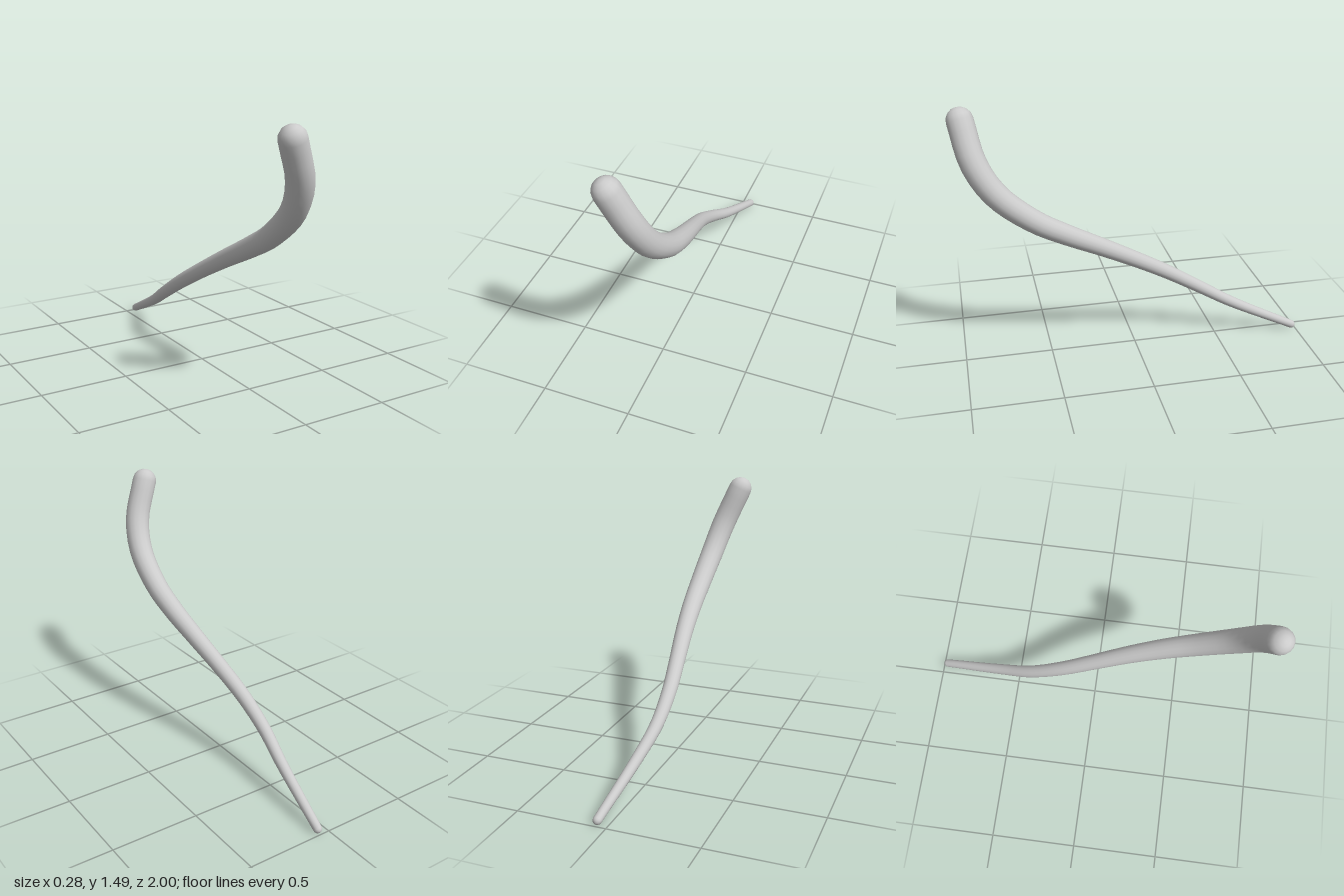
import * as THREE from 'three';

// Centreline stations from thick end to thin tip: x, y, z, radius
const STATIONS = [
  [-0.068, 1.427, 0.926, 0.073],
  [0.02, 1.21, 0.875, 0.073],
  [0.06, 1.04, 0.772, 0.07],
  [0.073, 0.875, 0.575, 0.064],
  [0.064, 0.775, 0.4, 0.059],
  [0.04, 0.67, 0.2, 0.052],
  [0.008, 0.558, 0, 0.046],
  [-0.02, 0.44, -0.2, 0.042],
  [-0.024, 0.318, -0.4, 0.037],
  [0.004, 0.205, -0.6, 0.032],
  [0.057, 0.032, -0.976, 0.024],
];
const SIDES = 16;
const STEPS = 40;
const CAP = 4;

// Tapered round sweep with domed ends
function taperedRod(stations) {
  const curve = new THREE.CatmullRomCurve3(stations.map(([x, y, z]) => new THREE.Vector3(x, y, z)));
  const { tangents, normals, binormals } = curve.computeFrenetFrames(STEPS);
  const last = stations.length - 1;
  const radiusAt = (u) => {
    const s = curve.getUtoTmapping(u) * last;
    const k = Math.min(Math.floor(s), last - 1);
    return THREE.MathUtils.lerp(stations[k][3], stations[k + 1][3], s - k);
  };

  // Each ring: frame index, offset along the tangent, radius
  const rings = [];
  const r0 = radiusAt(0);
  const r1 = radiusAt(1);
  for (let i = 1; i < CAP; i++) {
    const a = (i / CAP) * Math.PI / 2;
    rings.push([0, -r0 * Math.cos(a), r0 * Math.sin(a)]);
  }
  for (let i = 0; i <= STEPS; i++) rings.push([i, 0, radiusAt(i / STEPS)]);
  for (let i = CAP - 1; i > 0; i--) {
    const a = (i / CAP) * Math.PI / 2;
    rings.push([STEPS, r1 * Math.cos(a), r1 * Math.sin(a)]);
  }

  const positions = [];
  const index = [];
  const p = new THREE.Vector3();
  const place = (f, along) => curve.getPointAt(f / STEPS, p).addScaledVector(tangents[f], along);
  rings.forEach(([f, along, r]) => {
    for (let j = 0; j < SIDES; j++) {
      const a = (j / SIDES) * Math.PI * 2;
      place(f, along)
        .addScaledVector(normals[f], r * Math.cos(a))
        .addScaledVector(binormals[f], r * Math.sin(a));
      positions.push(p.x, p.y, p.z);
    }
  });

  // Poles of the two domes
  const startPole = rings.length * SIDES;
  const endPole = startPole + 1;
  positions.push(...place(0, -r0).toArray());
  positions.push(...place(STEPS, r1).toArray());

  const end = (rings.length - 1) * SIDES;
  for (let j = 0; j < SIDES; j++) {
    const k = (j + 1) % SIDES;
    index.push(startPole, k, j, endPole, end + j, end + k);
    for (let i = 0; i < end; i += SIDES) {
      index.push(i + j, i + k, i + SIDES + j);
      index.push(i + k, i + SIDES + k, i + SIDES + j);
    }
  }

  const geometry = new THREE.BufferGeometry();
  geometry.setAttribute('position', new THREE.Float32BufferAttribute(positions, 3));
  geometry.setIndex(index);
  geometry.computeVertexNormals();
  return geometry;
}

export function createModel() {
  const group = new THREE.Group();
  group.name = 'bentStick';
  const stick = new THREE.Mesh(
    taperedRod(STATIONS),
    new THREE.MeshStandardMaterial({ color: 0xcccccc })
  );
  stick.name = 'stick';
  group.add(stick);
  return group;
}
